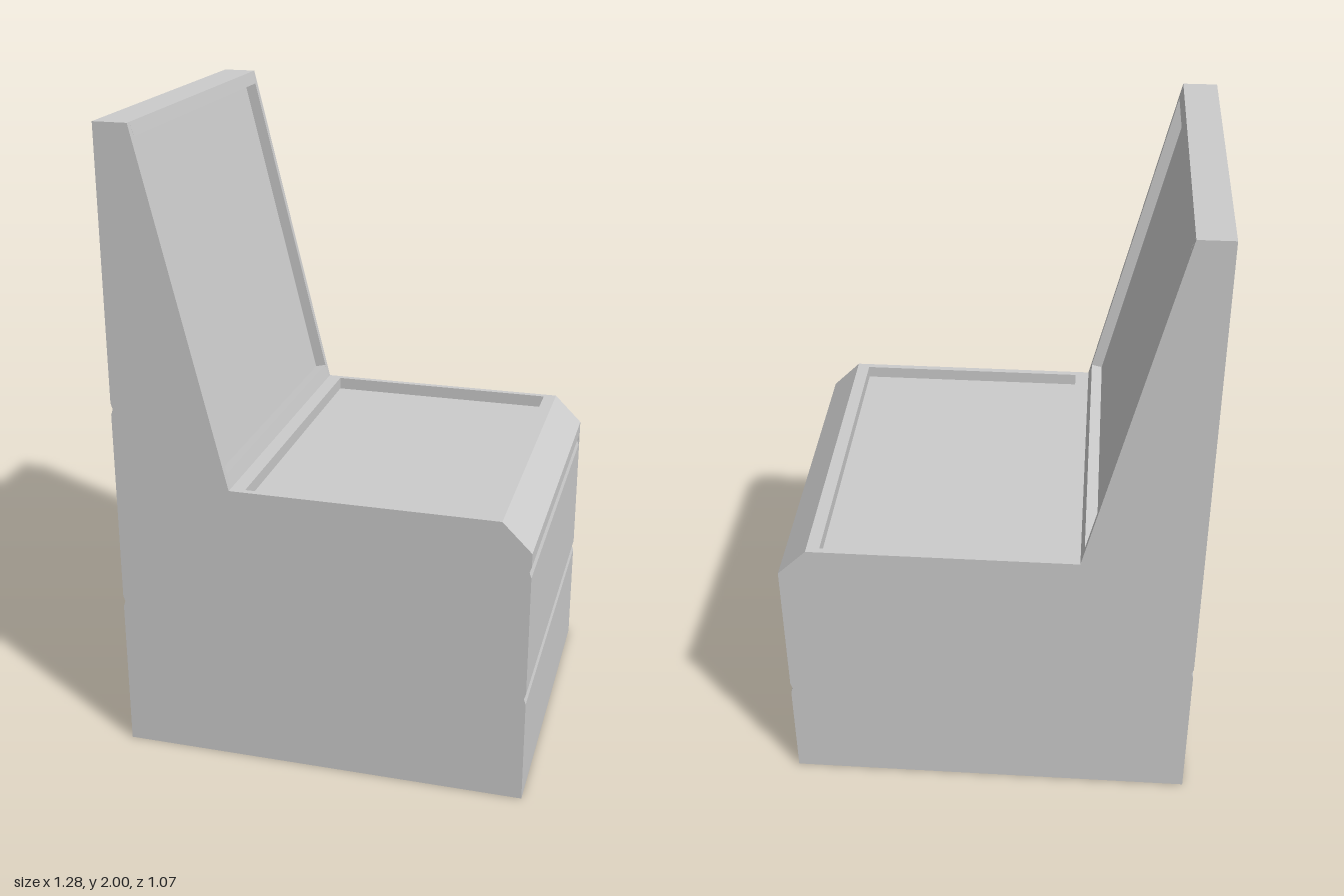
import * as THREE from 'three';

const HALF = 0.535;   // half width of the seat
const INNER = 0.515;  // half width of the recessed panels
const X = 0.64, D = 0.006, H = 0.018; // side face, groove depth, groove half height

// Seam lines between the stacked sections, back (-x) to front (+x)
const lowerSeam = [[-X + D, 0.5], [-0.27, 0.5], [-0.23, 0.35], [X - D, 0.35]];
const upperSeam = [[-X + D, 1.145], [-0.495, 1.145], [-0.366, 0.665], [0.078, 0.665], [0.11, 0.77], [X - D, 0.77]];

// Outline from the front chamfer over the seat and backrest to the rear top edge
const plainTop = [[X, 0.83], [0.55, 0.92], [-0.275, 0.92], [-0.535, 2], [-X, 2]];
const recessedTop = [
  [X, 0.83], [0.55, 0.92],
  [0.51, 0.92], [0.51, 0.88], [-0.23, 0.88], [-0.23, 0.92],           // seat recess
  [-0.275, 0.92],
  [-0.286, 0.965], [-0.321, 0.957], [-0.56, 1.952], [-0.525, 1.96],   // backrest recess
  [-0.535, 2], [-X, 2],
];

export function createModel() {
  const model = new THREE.Group();
  const material = new THREE.MeshStandardMaterial({ color: 0xcccccc, flatShading: true });

  // Extrude a side outline between two z positions
  function slab(name, points, z0, z1) {
    const shape = new THREE.Shape(points.map(([x, y]) => new THREE.Vector2(x, y)));
    const geometry = new THREE.ExtrudeGeometry(shape, { depth: z1 - z0, bevelEnabled: false });
    geometry.translate(0, 0, z0);
    const mesh = new THREE.Mesh(geometry, material);
    mesh.name = name;
    model.add(mesh);
  }

  // Seam bottom edge of a section, with the groove slopes at both ends
  const above = (seam) => [[-X, seam[0][1] + H], ...seam, [X, seam[seam.length - 1][1] + H]];
  // Seam top edge of a section, running front to back
  const below = (seam) => [[-X, seam[0][1] - H], ...seam, [X, seam[seam.length - 1][1] - H]].reverse();

  // Base block
  slab('base', [[-X, 0], [X, 0], ...below(lowerSeam)], -HALF, HALF);

  // Middle section, wrapped around the upper seam
  slab('middleSection', [...above(lowerSeam), ...below(upperSeam)], -INNER, HALF);

  // Seat and backrest with recessed panels
  slab('seatAndBackrest', [...above(upperSeam), ...recessedTop], -INNER, INNER);

  // Side rims closing the recesses; the rear one covers the upper seam
  slab('frontRim', [...above(upperSeam), ...plainTop], INNER, HALF);
  slab('rearRim', [...above(lowerSeam), ...plainTop], -HALF, -INNER);

  return model;
}
